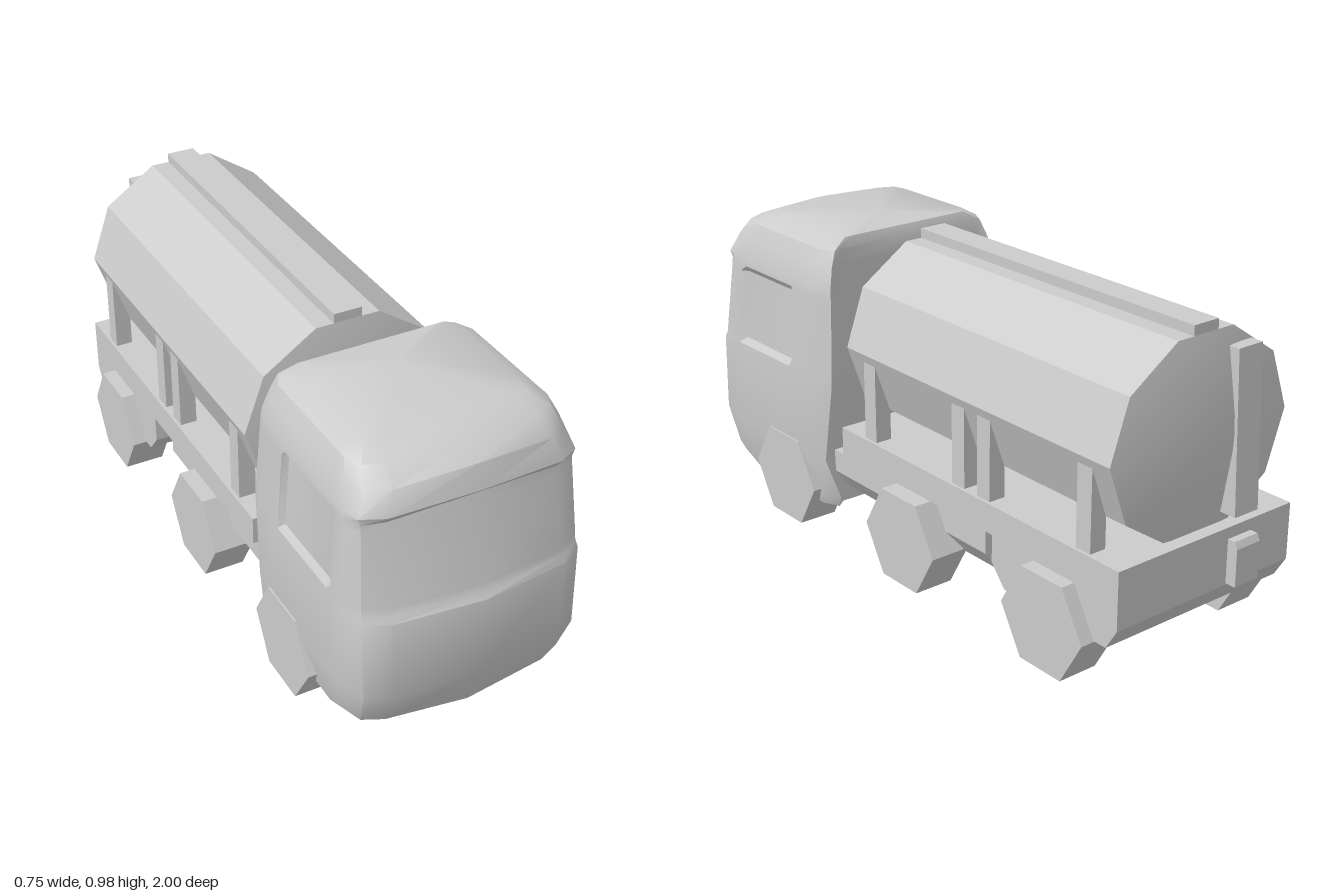
import * as THREE from 'three';
import { toCreasedNormals } from 'three/addons/utils/BufferGeometryUtils.js';

const material = new THREE.MeshStandardMaterial({ color: 0xcccccc });
const mix = THREE.MathUtils.lerp;

export function createModel() {
  const model = new THREE.Group();

  function add(name, geometry, x = 0, y = 0, z = 0) {
    const mesh = new THREE.Mesh(geometry, material);
    mesh.name = name;
    mesh.position.set(x, y, z);
    model.add(mesh);
    return mesh;
  }

  // Box given by its limits on each axis
  function box(name, [x0, x1], [y0, y1], [z0, z1]) {
    return add(name, new THREE.BoxGeometry(x1 - x0, y1 - y0, z1 - z0),
      (x0 + x1) / 2, (y0 + y1) / 2, (z0 + z1) / 2);
  }

  // Side profile of [z, y] points, extruded across x
  function sidePart(name, points, x0, x1) {
    const shape = new THREE.Shape(points.map(p => new THREE.Vector2(...p)));
    const g = new THREE.ExtrudeGeometry(shape, { depth: x1 - x0, bevelEnabled: false });
    g.rotateY(-Math.PI / 2);
    return add(name, g, x1);
  }

  add('cab', cabGeometry());

  // Hexagonal wheels, flat side down
  for (const z of [0.54, -0.075, -0.715]) {
    for (const side of [-1, 1]) {
      const g = new THREE.CylinderGeometry(0.165, 0.165, 0.13, 6);
      g.rotateZ(Math.PI / 2);
      add('wheel', toCreasedNormals(g, 0.5), side * 0.31, 0.143, z);
    }
  }

  // Front chassis with sloping lower flanks
  const section = new THREE.Shape([
    [-0.25, 0.133], [0.25, 0.133], [0.3, 0.2], [0.3, 0.272], [-0.3, 0.272], [-0.3, 0.2],
  ].map(p => new THREE.Vector2(...p)));
  add('chassis', new THREE.ExtrudeGeometry(section, { depth: 0.79, bevelEnabled: false }), 0, 0, -0.39);

  // Tank bed, deepened over the rear axle
  sidePart('tankBed', [
    [0.27, 0.295], [0.27, 0.385], [-0.965, 0.385], [-0.965, 0.21], [-0.925, 0.145],
    [-0.51, 0.145], [-0.455, 0.21], [-0.455, 0.295],
  ], -0.33, 0.33);

  // Ten-sided tank with shallow conical ends
  const tankPart = (name, front, back, length, z) => {
    const g = new THREE.CylinderGeometry(front, back, length, 10, 1, true, Math.PI / 2);
    g.rotateX(Math.PI / 2).scale(0.33, 0.305, 1);
    add(name, toCreasedNormals(g, 0.5), 0, 0.66, z);
  };
  tankPart('tankBody', 1, 1, 1.15, -0.345);
  tankPart('tankFrontEnd', 0, 1, 0.055, 0.2575);
  tankPart('tankRearEnd', 1, 0, 0.06, -0.95);
  box('tankWalkway', [-0.045, 0.045], [0.93, 0.98], [-0.92, 0.23]);

  // Tank support posts
  for (const z of [0.132, -0.292, -0.405, -0.818]) {
    for (const s of [-1, 1]) {
      box('tankSupport', [s * 0.293 - 0.027, s * 0.293 + 0.027], [0.38, 0.64], [z - 0.028, z + 0.028]);
    }
  }

  // Rear ladder strip and the small box below it
  sidePart('rearLadder', [[-0.925, 0.9], [-0.965, 0.9], [-0.985, 0.42], [-0.925, 0.42]], -0.17, -0.08);
  sidePart('rearBox', [[-0.95, 0.35], [-0.99, 0.35], [-1, 0.33], [-1, 0.215], [-0.95, 0.215]], -0.17, -0.08);

  return model;
}

// Cab lofted from horizontal outlines, with recessed windscreen and side windows
function cabGeometry() {
  // y, front z, front corner x and z, side x, side front z, rear flange z, rear panel z, front crown, window depth
  const levels = [
    [0.088, 0.82, 0.28, 0.80, 0.335, 0.76, 0.33, 0.355, 0, 0],
    [0.13, 0.945, 0.32, 0.905, 0.345, 0.83, 0.305, 0.355, -0.028, 0],
    [0.25, 1.0, 0.335, 0.945, 0.371, 0.86, 0.345, 0.36, 0, 0],
    [0.505, 1.0, 0.34, 0.93, 0.363, 0.86, 0.31, 0.355, 0, 0],
    [0.525, 0.985, 0.335, 0.922, 0.362, 0.86, 0.31, 0.355, 0, 0],
    [0.545, 0.98, 0.334, 0.92, 0.361, 0.86, 0.31, 0.355, 0, 0.015],
    [0.77, 0.925, 0.322, 0.888, 0.348, 0.845, 0.32, 0.355, 0.01, 0.015],
    [0.79, 0.92, 0.322, 0.885, 0.347, 0.84, 0.322, 0.355, 0.015, 0],
    [0.812, 0.945, 0.33, 0.885, 0.345, 0.835, 0.325, 0.355, 0.018, 0],
    [0.878, 0.925, 0.30, 0.86, 0.327, 0.80, 0.34, 0.355, 0.025, 0],
    [0.925, 0.865, 0.285, 0.82, 0.307, 0.77, 0.35, 0.357, 0.012, 0],
    [0.955, 0.79, 0.245, 0.76, 0.255, 0.72, 0.37, 0.37, 0.006, 0],
  ];

  const outline = ([y, zf, fx, fz, w, sz, zr, rz, crown, depth]) => {
    const sideZ = t => mix(sz, zr, t);
    const half = [
      [0, y + crown, zf],
      [fx * 0.8, y + crown * 0.2, mix(zf, fz, 0.4)],
      [fx, y, fz],
      [w, y, sz],
      [w, y, sideZ(0.1)],
      [w - depth, y, sideZ(0.15)],
      [w - depth, y, sideZ(0.63)],
      [w, y, sideZ(0.66)],
      [w, y, sideZ(0.88)],
      [w - 0.025, y, zr],
      [w - 0.055, y, rz],
      [0, y, rz],
    ];
    const mirrored = half.slice(1, -1).reverse().map(([x, py, z]) => [-x, py, z]);
    return [...half, ...mirrored];
  };

  const loops = levels.map(outline);
  const n = loops[0].length;
  const positions = loops.flat(2);
  positions.push(0, 0.088, 0.55, 0, 0.971, 0.5);
  const bottom = n * levels.length, top = bottom + 1;
  const lastLoop = n * (levels.length - 1);
  const index = [];
  for (let j = 0; j < n; j++) {
    const k = (j + 1) % n;
    for (let i = 0; i < levels.length - 1; i++) {
      const a = i * n + j, b = i * n + k;
      index.push(a, b, b + n, a, b + n, a + n);
    }
    index.push(k, j, bottom, lastLoop + j, lastLoop + k, top);
  }
  const g = new THREE.BufferGeometry();
  g.setAttribute('position', new THREE.Float32BufferAttribute(positions, 3));
  g.setIndex(index);
  return toCreasedNormals(g, 0.6);
}
